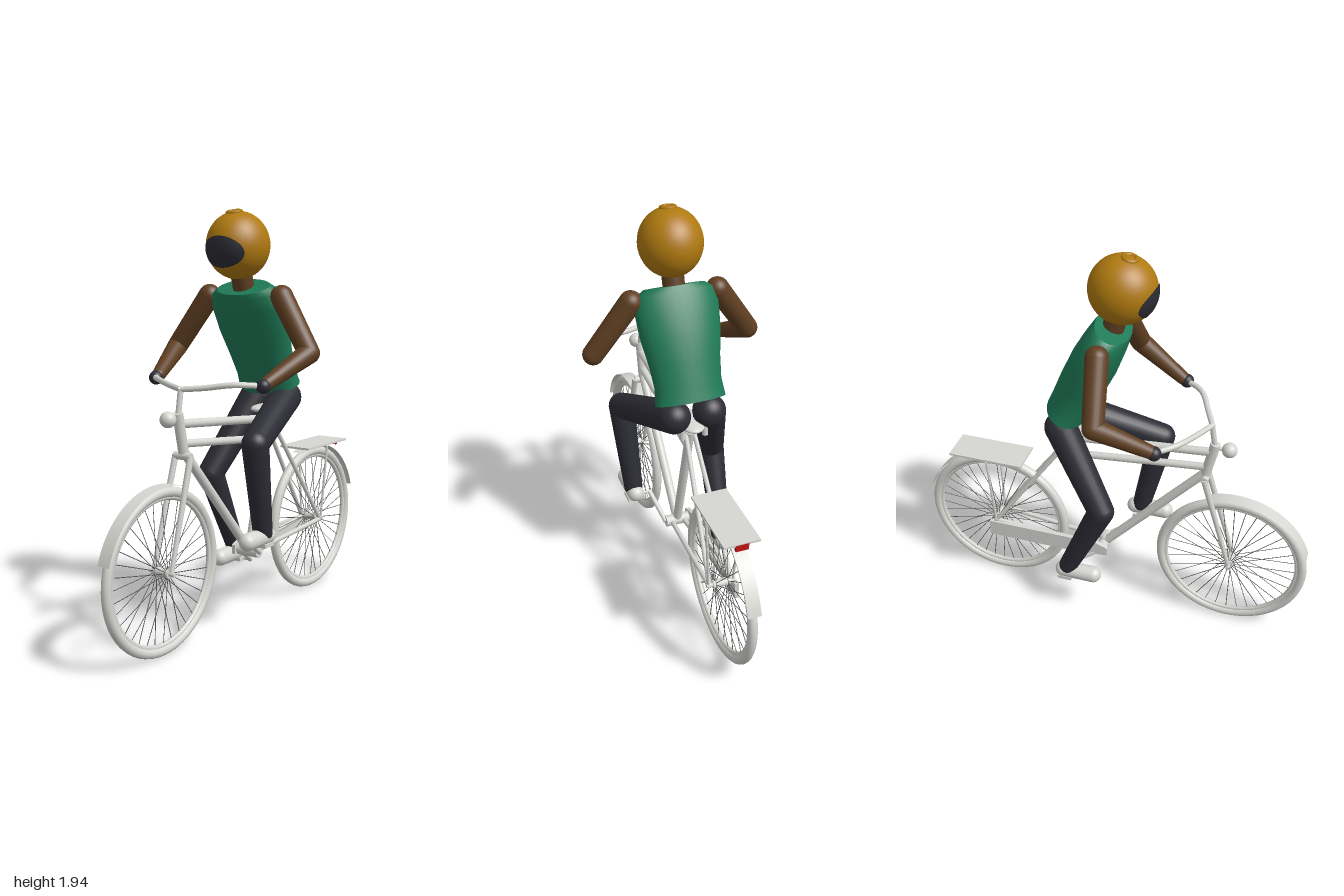
import * as THREE from 'three';

const mat = (name, color) => {
  const m = new THREE.MeshStandardMaterial({ color });
  m.name = name;
  return m;
};
const V = (x, y, z) => new THREE.Vector3(x, y, z);

export function createModel() {
  const grey = mat('bikeGrey', 0xd6d6d2);
  const spokeGrey = mat('spokeGrey', 0x5a5a5a);
  const gold = mat('helmetGold', 0xb07a10);
  const dark = mat('darkCloth', 0x2c2c35);
  const green = mat('shirtGreen', 0x1f7a57);
  const skin = mat('skinBrown', 0x5f3f22);
  const red = mat('lampRed', 0xc01414);
  const strip = mat('stripGrey', 0xd6d6d2);
  strip.side = THREE.DoubleSide;

  const model = new THREE.Group();
  model.name = 'cyclist';
  const bike = new THREE.Group();
  bike.name = 'bicycle';
  const rider = new THREE.Group();
  rider.name = 'rider';
  model.add(bike, rider);

  const add = (parent, name, geo, material, x = 0, y = 0, z = 0) => {
    const m = new THREE.Mesh(geo, material);
    m.name = name;
    m.position.set(x, y, z);
    parent.add(m);
    return m;
  };
  // Tapered rod from a to b
  const rod = (parent, name, a, b, ra, rb = ra, material = grey, sides = 12) => {
    const mid = a.clone().add(b).multiplyScalar(0.5);
    const m = add(parent, name, new THREE.CylinderGeometry(rb, ra, a.distanceTo(b), sides), material, mid.x, mid.y, mid.z);
    m.quaternion.setFromUnitVectors(V(0, 1, 0), b.clone().sub(a).normalize());
    return m;
  };
  const ball = (parent, name, p, r, material) =>
    add(parent, name, new THREE.SphereGeometry(r, 24, 16), material, p.x, p.y, p.z);

  // Wheels: tyre, rim, hub, spokes and mudguard
  const makeWheel = (name, z, guardStart) => {
    const wheel = new THREE.Group();
    wheel.name = name;
    wheel.position.set(0, 0.38, z);
    bike.add(wheel);
    add(wheel, 'tyre', new THREE.TorusGeometry(0.352, 0.023, 12, 56), grey).rotation.y = Math.PI / 2;
    add(wheel, 'rim', new THREE.TorusGeometry(0.329, 0.012, 8, 56), grey).rotation.y = Math.PI / 2;
    rod(wheel, 'hub', V(-0.04, 0, 0), V(0.04, 0, 0), 0.02);
    rod(wheel, 'axle', V(-0.07, 0, 0), V(0.07, 0, 0), 0.01);
    for (let i = 0; i < 36; i++) {
      const a = (i / 36) * Math.PI * 2;
      const c = Math.cos(a), s = Math.sin(a);
      rod(wheel, 'spoke', V(i % 2 ? 0.03 : -0.03, 0.018 * s, 0.018 * c), V(0, 0.325 * s, 0.325 * c), 0.0018, 0.0018, spokeGrey, 4);
    }
    const guard = new THREE.CylinderGeometry(0.384, 0.384, 0.064, 20, 1, true, guardStart, 1.62);
    add(wheel, 'mudguard', guard.rotateZ(Math.PI / 2), strip);
  };
  makeWheel('frontWheel', 0.615, 0.3);
  makeWheel('rearWheel', -0.604, Math.PI - 0.3 - 1.62);

  // Frame tubes
  const bracket = V(0, 0.326, -0.036), seatTop = V(0, 0.96, -0.205);
  rod(bike, 'headTube', V(0, 0.885, 0.462), V(0, 1.064, 0.5), 0.024);
  rod(bike, 'topTube', V(0, 1.015, 0.485), V(0, 0.955, -0.2), 0.02);
  rod(bike, 'middleTube', V(0, 0.925, 0.465), V(0, 0.86, -0.18), 0.018);
  rod(bike, 'downTube', V(0, 0.9, 0.47), bracket, 0.022);
  rod(bike, 'seatTube', bracket, seatTop, 0.021);
  rod(bike, 'seatPost', seatTop, V(0, 1.0, -0.215), 0.015);
  rod(bike, 'bottomBracket', V(-0.06, 0.326, -0.036), V(0.06, 0.326, -0.036), 0.028);
  rod(bike, 'forkCrown', V(-0.045, 0.87, 0.467), V(0.045, 0.87, 0.467), 0.018);

  // Saddle under the rider
  add(bike, 'saddle', new THREE.SphereGeometry(1, 20, 12), grey, 0, 1.01, -0.19).scale.set(0.065, 0.022, 0.11);

  // Handlebar, stem and head lamp
  rod(bike, 'stem', V(0, 1.05, 0.497), V(0, 1.165, 0.478), 0.013);
  ball(bike, 'headLamp', V(0, 1.043, 0.566), 0.036, grey);
  rod(bike, 'lampBracket', V(0, 1.04, 0.5), V(0, 1.043, 0.55), 0.008);

  for (const s of [-1, 1]) {
    rod(bike, 'forkBlade', V(s * 0.042, 0.875, 0.466), V(s * 0.05, 0.38, 0.615), 0.015, 0.01);
    rod(bike, 'seatStay', V(s * 0.02, 0.95, -0.2), V(s * 0.055, 0.375, -0.604), 0.011);
    rod(bike, 'chainStay', V(s * 0.03, 0.326, -0.04), V(s * 0.055, 0.375, -0.604), 0.012);
    rod(bike, 'rackStay', V(s * 0.085, 0.766, -0.62), V(s * 0.06, 0.38, -0.604), 0.006);
    rod(bike, 'saddleSpring', V(s * 0.055, 0.96, -0.25), V(s * 0.055, 1.01, -0.25), 0.014);
    const bar = new THREE.CatmullRomCurve3([
      V(0, 1.165, 0.479), V(s * 0.1, 1.174, 0.435), V(s * 0.2, 1.188, 0.39), V(s * 0.25, 1.188, 0.35), V(s * 0.312, 1.178, 0.265)]);
    add(bike, 'handlebar', new THREE.TubeGeometry(bar, 20, 0.013, 10), grey);
    // Crank arm and pedal
    const pz = -0.036 + s * 0.145, py = 0.326 + s * 0.096;
    rod(bike, 'crank', V(s * 0.06, 0.326, -0.036), V(s * 0.095, py, pz), 0.012);
    rod(bike, 'pedalAxle', V(s * 0.09, py, pz), V(s * 0.21, py, pz), 0.008);
    add(bike, 'pedal', new THREE.BoxGeometry(0.085, 0.018, 0.07), grey, s * 0.175, py - 0.002, pz);
  }

  // Chain guard
  const guardShape = new THREE.Shape([[0, 0.35], [-0.06, 0.375], [-0.635, 0.375], [-0.635, 0.29], [-0.2, 0.29], [0, 0.305]]
    .map(([z, y]) => new THREE.Vector2(z, y)));
  const guardGeo = new THREE.ExtrudeGeometry(guardShape, { depth: 0.02, bevelEnabled: false });
  add(bike, 'chainGuard', guardGeo.rotateY(-Math.PI / 2), grey, -0.058);

  // Luggage rack and tail lamp
  add(bike, 'rack', new THREE.BoxGeometry(0.17, 0.01, 0.38), grey, 0, 0.772, -0.628);
  add(bike, 'tailLamp', new THREE.BoxGeometry(0.06, 0.032, 0.014), red, 0, 0.756, -0.812);

  // Torso: elliptical sections along a leaning axis
  const profile = [[0, 0.165, 0.1], [0.15, 0.156, 0.102], [0.35, 0.166, 0.108], [0.6, 0.188, 0.11],
    [0.82, 0.196, 0.1], [0.95, 0.182, 0.09], [1, 0.14, 0.084]];
  const length = 0.517, n = 32, pos = [], idx = [];
  for (const [t, rx, rz] of profile)
    for (let i = 0; i < n; i++) {
      const a = (i / n) * Math.PI * 2;
      pos.push(rx * Math.sin(a), t * length, rz * Math.cos(a));
    }
  for (let r = 0; r < profile.length - 1; r++)
    for (let i = 0; i < n; i++) {
      const a = r * n + i, b = r * n + (i + 1) % n;
      idx.push(a, b, b + n, a, b + n, a + n);
    }
  const torsoGeo = new THREE.BufferGeometry();
  torsoGeo.setAttribute('position', new THREE.Float32BufferAttribute(pos, 3));
  torsoGeo.setIndex(idx);
  torsoGeo.computeVertexNormals();
  const torso = add(rider, 'torso', torsoGeo, green, 0, 1.128, -0.207);
  torso.rotation.x = 0.44;
  for (const [name, k, y, turn] of [['torsoTop', 6, length, -1], ['torsoBottom', 0, 0, 1]]) {
    const cap = add(torso, name, new THREE.CircleGeometry(1, n), green, 0, y, 0);
    cap.rotation.x = turn * Math.PI / 2;
    cap.scale.set(profile[k][1], profile[k][2], 1);
  }

  // Neck, helmet and visor
  rod(rider, 'neck', V(0, 1.56, 0.0), V(0, 1.68, 0.035), 0.05, 0.05, skin, 20);
  const hr = V(0.145, 0.155, 0.154), hc = V(0, 1.786, 0.053);
  add(rider, 'helmet', new THREE.SphereGeometry(1, 40, 28), gold, hc.x, hc.y, hc.z).scale.copy(hr);
  const knob = add(rider, 'helmetTopRing', new THREE.TorusGeometry(0.03, 0.01, 8, 24), gold, 0, 1.934, 0.083);
  knob.rotation.x = -Math.PI / 2 + 0.2;
  const visor = new THREE.RingGeometry(0.001, 1, 40, 10);
  const p = visor.attributes.position;
  for (let i = 0; i < p.count; i++) {
    const x = p.getX(i) * 0.108, y = -0.031 + p.getY(i) * 0.071;
    const d = Math.sqrt(1 - (x / hr.x) ** 2 - (y / hr.y) ** 2);
    p.setXYZ(i, x, y, hr.z * d + 0.004);
  }
  visor.computeVertexNormals();
  const visorDark = dark.clone();
  visorDark.name = 'visorDark';
  add(rider, 'visor', visor, visorDark, hc.x, hc.y, hc.z);

  // Jointed limb: tapered rods with a ball at each joint
  const limb = (name, points, radii, material) => {
    const g = new THREE.Group();
    g.name = name;
    rider.add(g);
    points.forEach((q, i) => {
      ball(g, name + 'Joint', q, radii[i], material);
      if (i) rod(g, name + 'Segment', points[i - 1], q, radii[i - 1], radii[i], material, 24);
    });
  };
  for (const s of [-1, 1]) {
    const side = s > 0 ? 'left' : 'right';
    limb(side + 'Arm', [V(s * 0.205, 1.555, 0.0), V(s * 0.375, 1.31, 0.035), V(s * 0.305, 1.19, 0.265)], [0.053, 0.049, 0.032], skin);
    ball(rider, side + 'Glove', V(s * 0.302, 1.18, 0.287), 0.033, dark);
  }
  limb('leftLeg', [V(0.085, 1.065, -0.22), V(0.2, 0.905, 0.2), V(0.18, 0.475, 0.11)], [0.077, 0.063, 0.046], dark);
  limb('rightLeg', [V(-0.085, 1.065, -0.22), V(-0.195, 0.695, 0.01), V(-0.18, 0.29, -0.17)], [0.077, 0.063, 0.046], dark);

  // Shoes
  for (const [name, x, y, z] of [['leftShoe', 0.18, 0.456, 0.153], ['rightShoe', -0.18, 0.258, -0.118]])
    add(rider, name, new THREE.CapsuleGeometry(0.041, 0.155, 10, 20), grey, x, y, z).rotation.x = Math.PI / 2;

  return model;
}
